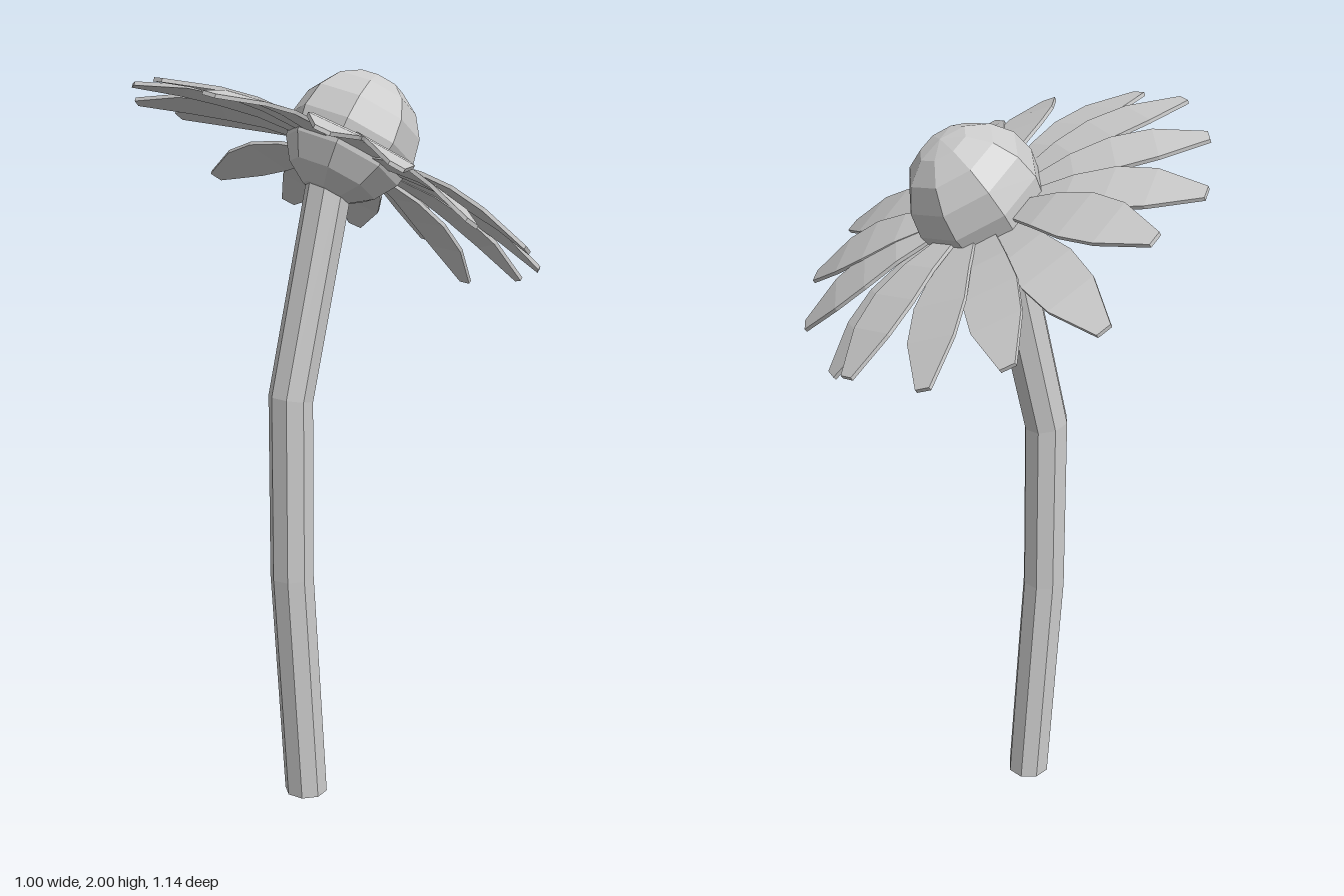
import * as THREE from 'three';

const material = new THREE.MeshStandardMaterial({ color: 0xcccccc, flatShading: true, side: THREE.DoubleSide });
const TILT = 0.56; // lean of the flower head toward +x
const AXIS = new THREE.Vector3(Math.sin(TILT), Math.cos(TILT), 0);

function part(geometry, name) {
  const mesh = new THREE.Mesh(geometry, material);
  mesh.name = name;
  return mesh;
}

// Eight-sided stem, bent at two joints: [x, y, tilt of ring]
function makeStem() {
  const rings = [[-0.085, 0, 0], [-0.128, 0.66, 0.03], [-0.128, 1.16, -0.17], [0.015, 1.8, -0.25]];
  const geometry = new THREE.CylinderGeometry(0.06, 0.06, 3, 8, 3);
  const p = geometry.attributes.position;
  for (let i = 0; i < p.count; i++) {
    const [x, y, slope] = rings[Math.round(p.getY(i) + 1.5)];
    p.setXY(i, x + p.getX(i), y + slope * p.getX(i));
  }
  geometry.computeVertexNormals();
  return part(geometry, 'stem');
}

// Thin arched petal running from the root to its tip
function makePetal(root, tip) {
  const along = tip.clone().sub(root);
  const side = new THREE.Vector3().crossVectors(AXIS, along).normalize();
  const up = new THREE.Vector3().crossVectors(along, side).normalize();
  // Stations: [fraction of length, half width]
  const stations = [[0.15, 0.02], [0.42, 0.055], [0.6, 0.073], [0.78, 0.066], [1, 0.02]];
  const points = [], index = [];
  stations.forEach(([t, w], k) => {
    const centre = root.clone().addScaledVector(along, t).addScaledVector(up, 0.16 * t * (1 - t));
    for (const [s, h] of [[-1, -1], [1, -1], [1, 1], [-1, 1]]) {
      const v = centre.clone().addScaledVector(side, s * w).addScaledVector(up, h * 0.005);
      points.push(v.x, v.y, v.z);
    }
    if (k === 0) return;
    for (let j = 0; j < 4; j++) {
      const a = (k - 1) * 4 + j, b = (k - 1) * 4 + (j + 1) % 4;
      index.push(a, b, b + 4, a, b + 4, a + 4);
    }
  });
  const e = (stations.length - 1) * 4;
  index.push(0, 2, 1, 0, 3, 2, e, e + 1, e + 2, e, e + 2, e + 3);
  // Wind all faces outward
  for (let i = 0; i < index.length; i += 3) [index[i + 1], index[i + 2]] = [index[i + 2], index[i + 1]];
  const geometry = new THREE.BufferGeometry();
  geometry.setAttribute('position', new THREE.Float32BufferAttribute(points, 3));
  // Face order is checked against the upper side of the petal
  const corner = (i) => new THREE.Vector3().fromArray(points, index[i] * 3);
  const top = 2 * 2 * 3;
  const normal = corner(top + 1).sub(corner(top)).cross(corner(top + 2).sub(corner(top)));
  if (normal.dot(up) < 0) index.reverse();
  geometry.setIndex(index);
  geometry.computeVertexNormals();
  return part(geometry, 'petal');
}

export function createModel() {
  const model = new THREE.Group();
  model.name = 'flower';
  model.add(makeStem());

  // Faceted flower centre, its pole along the head's axis
  const centre = part(new THREE.SphereGeometry(0.174, 8, 8), 'flowerCentre');
  centre.position.set(0.07, 1.828, 0);
  centre.rotation.z = -TILT;
  model.add(centre);

  // Slightly irregular ring of petals, given by their tips
  const tips = [
    [-0.5, 1.995, 0], [-0.445, 1.97, -0.225], [-0.325, 1.91, -0.43], [-0.14, 1.86, -0.53],
    [0, 1.68, -0.57], [0.205, 1.6, -0.505], [0.37, 1.53, -0.4], [0.49, 1.5, -0.21],
    [0.462, 1.41, 0], [0.455, 1.45, 0.23], [0.37, 1.51, 0.4], [0.22, 1.59, 0.52],
    [0, 1.68, 0.57], [-0.195, 1.82, 0.535], [-0.325, 1.9, 0.43], [-0.465, 1.97, 0.175],
  ];
  const petals = new THREE.Group();
  petals.name = 'petals';
  const root = new THREE.Vector3(0.05, 1.78, 0);
  for (const tip of tips) petals.add(makePetal(root, new THREE.Vector3(...tip)));
  model.add(petals);
  return model;
}
